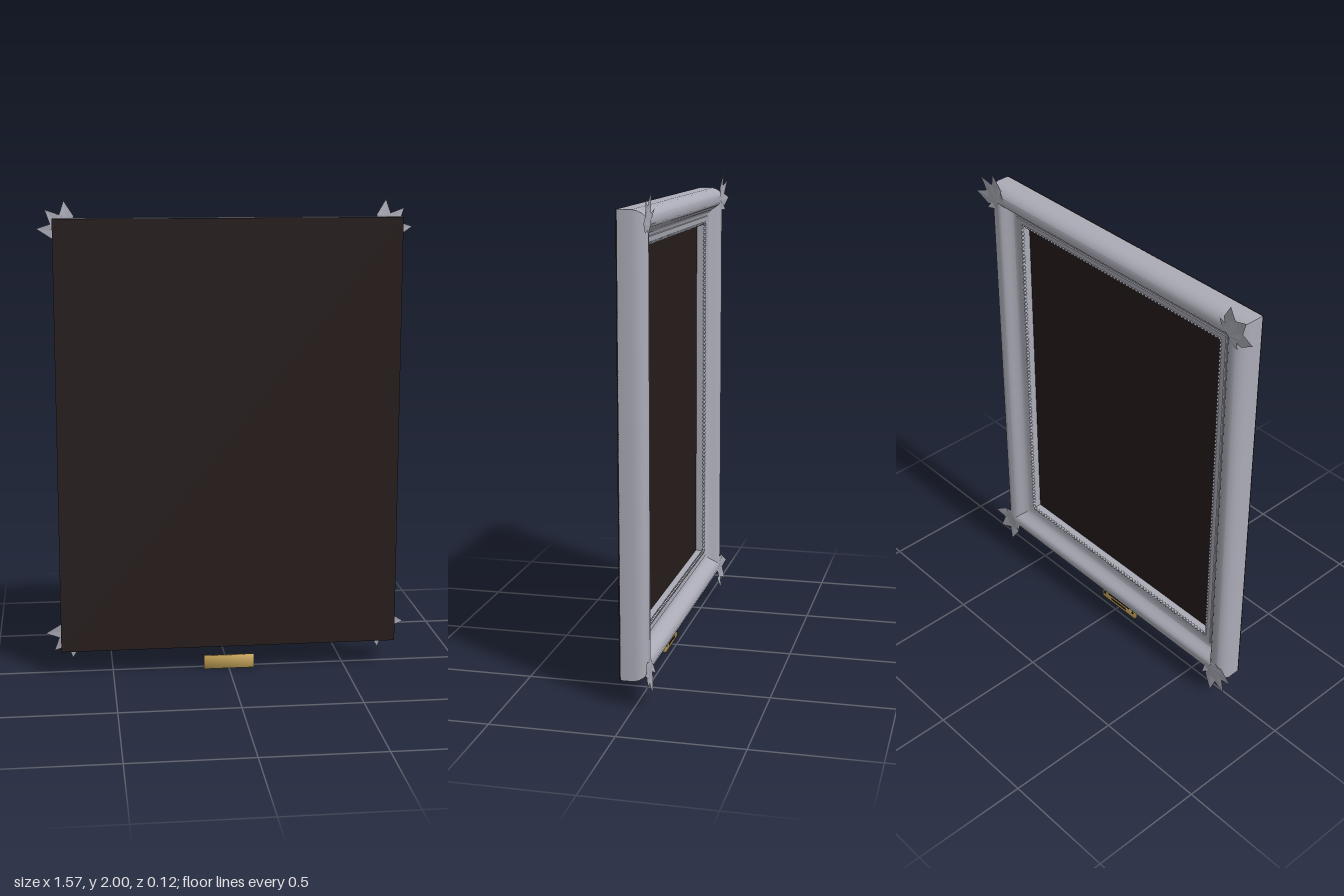
import * as THREE from 'three';
import { mergeGeometries, toCreasedNormals } from 'three/addons/utils/BufferGeometryUtils.js';

const W = 0.72, H = 0.9125, CY = 1.0205; // frame half width, half height, centre height
const CORNERS = [[1, -1], [1, 1], [-1, 1], [-1, -1]];

function material(name, color, doubleSided = false) {
  const m = new THREE.MeshStandardMaterial({ color });
  m.name = name;
  if (doubleSided) m.side = THREE.DoubleSide;
  return m;
}

function add(parent, name, geometry, mat, x = 0, y = 0, z = 0) {
  const mesh = new THREE.Mesh(geometry, mat);
  mesh.name = name;
  mesh.position.set(x, y, z);
  parent.add(mesh);
  return mesh;
}

// Sweeps a moulding profile of [inset, z] points round four mitred sides
function mouldingGeometry(profile) {
  const pos = [], index = [], n = profile.length;
  for (let k = 0; k < 4; k++) {
    const base = pos.length / 3;
    for (const [sx, sy] of [CORNERS[k], CORNERS[(k + 1) % 4]]) {
      for (const [d, z] of profile) pos.push(sx * (W - d), sy * (H - d), z);
    }
    for (let j = 0; j < n - 1; j++) {
      const a = base + j, b = a + n;
      index.push(a, a + 1, b, b, a + 1, b + 1);
    }
  }
  const g = new THREE.BufferGeometry();
  g.setAttribute('position', new THREE.Float32BufferAttribute(pos, 3));
  g.setIndex(index);
  return toCreasedNormals(g, 0.75);
}

// Cupped kite-shaped leaf lying along +x, facing -z, its tip curling outward
function leafGeometry(length, angle) {
  const m = length * 0.48, w = length * 0.25;
  const B = [0, 0, -0.056], L = [m, w, -0.052], R = [m, -w, -0.052];
  const M = [m, 0, -0.054], T = [length, 0, -0.062];
  const g = new THREE.BufferGeometry();
  g.setAttribute('position', new THREE.Float32BufferAttribute(
    [B, L, M, L, T, M, M, T, R, B, M, R].flat(), 3));
  g.computeVertexNormals();
  return g.rotateZ(angle);
}

// Box whose normals lean outward at the corners, so it shades softly
function softBox(w, h, d) {
  const g = new THREE.BoxGeometry(w, h, d);
  const p = g.attributes.position, v = new THREE.Vector3();
  for (let i = 0; i < p.count; i++) {
    v.set(Math.sign(p.getX(i)) * 0.5, Math.sign(p.getY(i)) * 0.5, Math.sign(p.getZ(i))).normalize();
    g.attributes.normal.setXYZ(i, v.x, v.y, v.z);
  }
  return g;
}

export function createModel() {
  const model = new THREE.Group();
  model.name = 'pictureFrame';
  const silver = material('silver', 0xacacb8);
  const leafSilver = material('leafSilver', 0xacacb8, true);
  const dark = material('darkBrown', 0x261d1c);
  const gold = material('gold', 0xc8a658);
  const ink = material('ink', 0x1c1712);

  // Moulded frame: rounded outside, crest, deep cove, small step, flat lip and inner wall
  const frame = new THREE.Group();
  frame.name = 'frame';
  frame.position.y = CY;
  model.add(frame);
  add(frame, 'moulding', mouldingGeometry([
    [0, 0.055], [0, 0], [0.005, -0.02], [0.014, -0.036], [0.028, -0.048],
    [0.045, -0.053], [0.06, -0.051], [0.072, -0.043], [0.082, -0.03],
    [0.092, -0.016], [0.104, -0.005], [0.118, 0.002], [0.12, -0.002],
    [0.136, -0.001], [0.148, 0.002], [0.148, 0.055],
  ]), silver);

  // Row of beads round the opening
  const bead = new THREE.SphereGeometry(0.007, 8, 6);
  const bx = W - 0.147, by = H - 0.147, beads = [];
  for (const [length, side, alongX] of [[bx, by, true], [by, bx, false]]) {
    const n = Math.round((2 * length) / 0.018);
    for (let i = 0; i < n; i++) {
      const t = -length + ((i + 0.5) * 2 * length) / n;
      for (const s of [-side, side]) {
        beads.push(bead.clone().translate(alongX ? t : s, alongX ? s : t, 0.004));
      }
    }
  }
  add(frame, 'beads', mergeGeometries(beads), silver);

  // Dark canvas set back in the opening and full-size backing board
  add(frame, 'canvas', new THREE.BoxGeometry(2 * W - 0.29, 2 * H - 0.29, 0.008), dark, 0, 0, 0.044);
  add(frame, 'backingBoard', new THREE.BoxGeometry(2 * W, 2 * H, 0.006), dark, 0, 0, 0.057);

  // Fan of five leaves on each corner
  const fan = mergeGeometries([[0.07, -76], [0.131, -38], [0.133, 0], [0.131, 38], [0.07, 76]]
    .map(([length, deg]) => leafGeometry(length, THREE.MathUtils.degToRad(deg))));
  for (const [sx, sy] of CORNERS) {
    const leaves = add(frame, 'cornerLeaves', fan, leafSilver, sx * (W - 0.065), sy * (H - 0.062), 0);
    leaves.rotation.z = Math.atan2(sy, sx);
  }

  // Name plate hanging below, with screws and engraved bars on its -z face
  const plate = new THREE.Group();
  plate.name = 'namePlate';
  plate.position.set(0, 0.029, 0.028);
  model.add(plate);
  add(plate, 'plate', softBox(0.216, 0.058, 0.014), gold);
  add(plate, 'upperBar', new THREE.BoxGeometry(0.14, 0.01, 0.002), ink, 0, 0.009, -0.0075);
  add(plate, 'lowerBar', new THREE.BoxGeometry(0.1, 0.008, 0.002), ink, 0, -0.011, -0.0075);
  const screw = new THREE.CylinderGeometry(0.006, 0.006, 0.005, 12).rotateX(Math.PI / 2);
  for (const s of [-1, 1]) add(plate, 'screw', screw, ink, s * 0.093, 0, -0.0075);

  return model;
}
